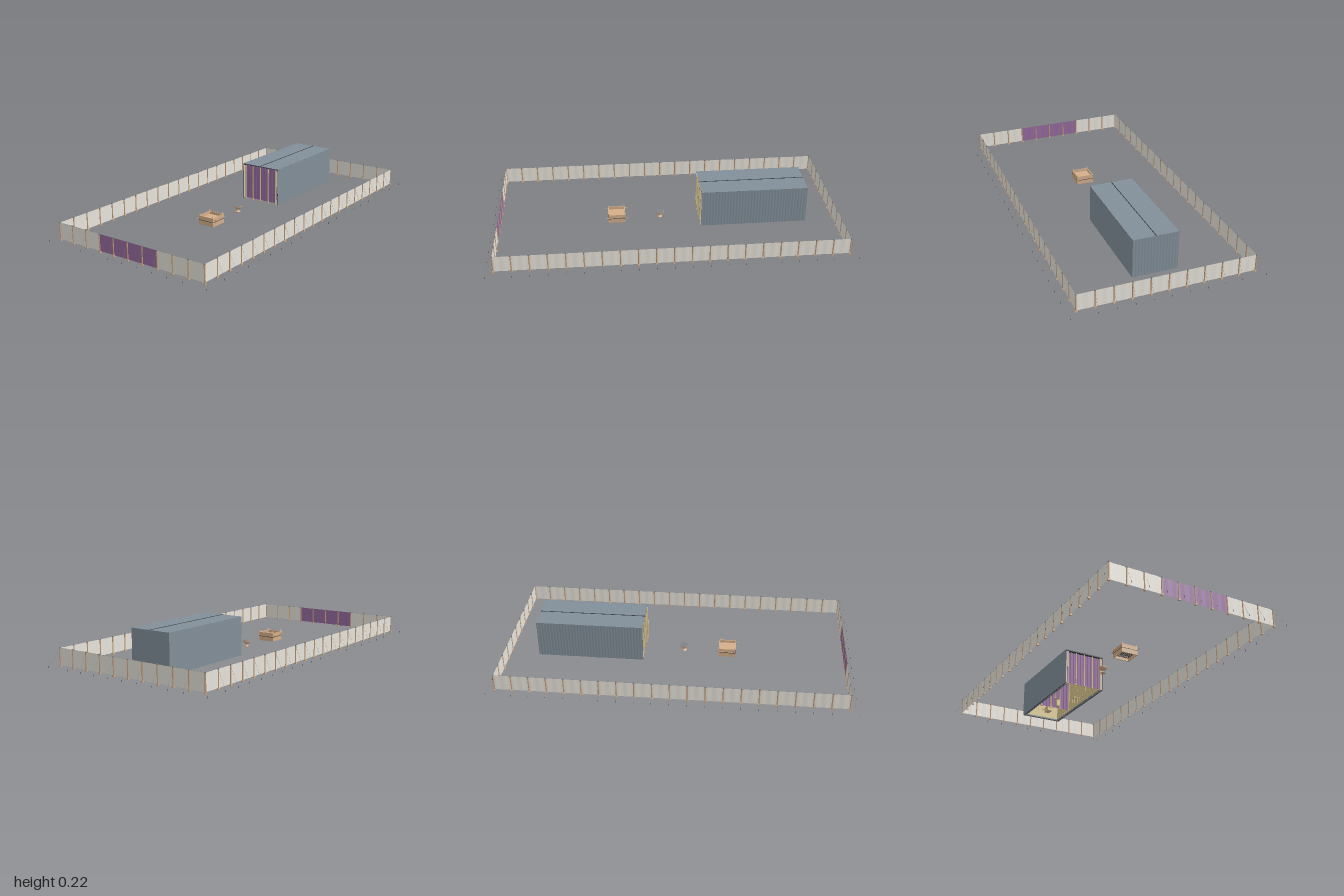
import * as THREE from 'three';
import { mergeGeometries } from 'three/addons/utils/BufferGeometryUtils.js';

const mat = (name, color) => {
  const m = new THREE.MeshStandardMaterial({ color, side: THREE.DoubleSide });
  m.name = name;
  return m;
};
const V = (x, y, z) => new THREE.Vector3(x, y, z);

// Geometry helpers
const box = (w, h, d, x, y, z) => new THREE.BoxGeometry(w, h, d).translate(x, y, z);
const cyl = (r0, r1, h, x, y, z, n = 10) => new THREE.CylinderGeometry(r0, r1, h, n).translate(x, y, z);
const rod = (a, b, r, n = 6) => {
  const d = b.clone().sub(a);
  const g = new THREE.CylinderGeometry(r, r, d.length(), n);
  g.applyQuaternion(new THREE.Quaternion().setFromUnitVectors(V(0, 1, 0), d.normalize()));
  const c = a.clone().add(b).multiplyScalar(0.5);
  return g.translate(c.x, c.y, c.z);
};

// Upright pleated cloth, facing +z, standing on y = 0
const cloth = (w, h, waves, amp) => {
  const g = new THREE.PlaneGeometry(w, h, waves * 8, 2).translate(0, h / 2, 0);
  const p = g.attributes.position;
  for (let i = 0; i < p.count; i++) {
    p.setZ(i, amp * Math.sin((p.getX(i) / w + 0.5) * waves * Math.PI * 2));
  }
  g.computeVertexNormals();
  return g;
};

export function createModel() {
  const model = new THREE.Group();
  const M = {
    linen: mat('linen', 0xe8e4dc),
    purple: mat('purple cloth', 0x946a9e),
    slate: mat('slate covering', 0x828f99),
    lining: mat('dark lining', 0x3e4347),
    gold: mat('gold', 0xd8c48c),
    wood: mat('wood', 0xc79f78),
    bronze: mat('bronze', 0xd4ae8a),
    steel: mat('dull silver', 0x7f858b),
    rope: mat('rope', 0x9c978c),
  };
  const add = (name, material, geos, parent = model) => {
    const mesh = new THREE.Mesh(mergeGeometries(geos), material);
    mesh.name = name;
    parent.add(mesh);
  };
  const group = (name) => {
    const g = new THREE.Group();
    g.name = name;
    model.add(g);
    return g;
  };

  // Courtyard fence: posts, sockets, caps, cloth, top cords, guy ropes
  const X = 0.955, Z = 0.478, STEP = 0.0955;
  const fence = group('courtyardFence');
  const posts = [], sockets = [], caps = [], linen = [], gate = [], ropes = [], stakes = [];
  const post = (x, z, ox, oz) => {
    posts.push(cyl(0.0036, 0.0036, 0.094, x, 0.055, z, 8));
    sockets.push(box(0.011, 0.009, 0.011, x, 0.0085, z));
    caps.push(cyl(0.0044, 0.0044, 0.006, x, 0.104, z, 8));
    const end = V(x + ox * 0.043, 0.004, z + oz * 0.043);
    ropes.push(rod(V(x, 0.1, z), end, 0.0005, 4));
    stakes.push(cyl(0.0014, 0.0008, 0.009, end.x, 0.0045, end.z, 5));
  };
  for (let i = 0; i <= 20; i++) {
    const x = -X + i * STEP;
    const ox = i === 0 ? -1 : i === 20 ? 1 : 0;
    for (const s of [-1, 1]) {
      post(x, s * Z, ox, s);
      if (i < 20) linen.push(cloth(STEP, 0.092, 2, 0.0006).translate(x + STEP / 2, 0.012, s * Z));
    }
  }
  const zStep = Z / 5;
  for (let i = 0; i < 10; i++) {
    const z = -Z + i * zStep;
    for (const s of [-1, 1]) {
      if (i > 0) post(s * X, z, s, 0);
      const panel = cloth(zStep, 0.092, 2, 0.0006).rotateY(Math.PI / 2).translate(s * X, 0.012, z + zStep / 2);
      (s < 0 && i >= 3 && i <= 6 ? gate : linen).push(panel);
    }
  }
  for (const s of [-1, 1]) {
    ropes.push(rod(V(-X, 0.104, s * Z), V(X, 0.104, s * Z), 0.0006, 4));
    ropes.push(rod(V(s * X, 0.104, -Z), V(s * X, 0.104, Z), 0.0006, 4));
  }
  add('fencePosts', M.wood, posts, fence);
  add('postSockets', M.bronze, sockets, fence);
  add('postCaps', M.steel, caps, fence);
  add('fenceCurtains', M.linen, linen, fence);
  add('gateCurtain', M.purple, gate, fence);
  add('fenceRopes', M.rope, ropes, fence);
  add('tentStakes', M.lining, stakes, fence);

  // Tent covering: ribbed cloth over a thin dark lining, linen edge at the door
  const tent = group('tent');
  const x0 = 0.186, x1 = 0.791, len = x1 - x0, cx = (x0 + x1) / 2, W = 0.125, top = 0.223, foot = 0.007;
  const cover = [];
  for (const s of [-1, 1]) {
    cover.push(cloth(len, top - foot, 36, 0.0005).translate(cx, foot, s * W));
    cover.push(cloth(len, W, 36, 0.0003).rotateX(-Math.PI / 2).translate(cx, top, s > 0 ? W : 0));
  }
  cover.push(cloth(W * 2, top - foot, 15, 0.0005).rotateY(Math.PI / 2).translate(x1, foot, 0));
  add('outerCovering', M.slate, cover, tent);
  const height = top - foot - 0.003, midY = (top + foot) / 2 - 0.001;
  const lining = [box(len - 0.002, 0.004, W * 2 - 0.003, cx, top - 0.003, 0),
    box(0.004, height, W * 2 - 0.003, x1 - 0.003, midY, 0)];
  const edges = [];
  for (const s of [-1, 1]) {
    lining.push(box(len - 0.004, height, 0.004, cx, midY, s * (W - 0.003)));
    edges.push(box(0.012, height - 0.012, 0.004, x0 + 0.005, midY - 0.003, s * (W - 0.0075)));
  }
  add('coveringLining', M.lining, lining, tent);
  add('liningEdges', M.linen, edges, tent);
  add('roofSeam', M.lining, [box(len, 0.002, 0.004, cx, top + 0.001, 0)], tent);

  // Gilded wall boards, crossbars and silver sockets
  const boards = [], feet = [];
  for (let i = 0; i < 20; i++) {
    const x = 0.217 + i * 0.0288;
    for (const s of [-1, 1]) {
      boards.push(box(0.0284, 0.192, 0.01, x, 0.111, s * 0.114));
      feet.push(box(0.026, 0.008, 0.011, x, 0.011, s * 0.114));
    }
  }
  for (let i = 0; i < 8; i++) {
    const z = (i - 3.5) * 0.0285;
    boards.push(box(0.01, 0.192, 0.0281, 0.78, 0.111, z));
    feet.push(box(0.011, 0.008, 0.025, 0.78, 0.011, z));
  }
  for (const y of [0.05, 0.11, 0.17]) {
    for (const s of [-1, 1]) boards.push(rod(V(0.205, y, s * 0.109), V(0.775, y, s * 0.109), 0.0018));
  }
  add('wallBoards', M.gold, boards, tent);
  add('boardSockets', M.steel, feet, tent);
  add('ceilingCloth', M.purple, [box(0.58, 0.006, 0.225, 0.49, 0.21, 0)], tent);

  // Entrance curtain and inner veil with their pillars
  const screens = [], pillars = [], bases = [];
  const screen = (x, count, off, half) => {
    screens.push(cloth(half * 2, 0.2, 10, 0.002).rotateY(Math.PI / 2).translate(x, 0.012, 0));
    for (let i = 0; i < count; i++) {
      const z = (i / (count - 1) * 2 - 1) * (half - 0.006);
      pillars.push(cyl(0.0036, 0.0036, 0.204, x + off, 0.112, z));
      bases.push(box(0.01, 0.008, 0.01, x + off, 0.009, z));
    }
  };
  screen(0.194, 5, -0.006, 0.114);
  screen(0.585, 4, -0.006, 0.1);
  add('tentScreens', M.purple, screens, tent);
  add('screenPillars', M.gold, pillars, tent);
  add('pillarBases', M.bronze, bases, tent);

  // Gilded furnishings: chest, incense stand, table, lampstand
  const gild = [box(0.048, 0.026, 0.03, 0.68, 0.03, 0), box(0.05, 0.004, 0.032, 0.68, 0.045, 0),
    box(0.02, 0.038, 0.02, 0.545, 0.027, 0), box(0.024, 0.003, 0.024, 0.545, 0.047, 0),
    box(0.04, 0.005, 0.022, 0.44, 0.036, 0.065)];
  for (const s of [-1, 1]) {
    gild.push(rod(V(0.63, 0.038, s * 0.018), V(0.73, 0.038, s * 0.018), 0.0015));
    gild.push(box(0.006, 0.018, 0.008, 0.68 + s * 0.017, 0.055, 0));
    for (const t of [-1, 1]) gild.push(box(0.003, 0.028, 0.003, 0.44 + s * 0.017, 0.021, 0.065 + t * 0.009));
  }
  gild.push(cyl(0.003, 0.012, 0.008, 0.44, 0.012, -0.065), cyl(0.0018, 0.0018, 0.05, 0.44, 0.038, -0.065));
  for (const r of [0.008, 0.015, 0.022]) {
    gild.push(new THREE.TorusGeometry(r, 0.0014, 6, 14, Math.PI).rotateX(Math.PI).translate(0.44, 0.06, -0.065));
  }
  add('furnishings', M.gold, gild, tent);

  // Altar: open box, sunken hearth, horns, carrying poles
  const altar = group('altar');
  altar.position.x = -0.29;
  const walls = [], trim = [], poles = [];
  for (const s of [-1, 1]) {
    walls.push(box(0.098, 0.05, 0.005, 0, 0.031, s * 0.0465), box(0.005, 0.05, 0.098, s * 0.0465, 0.031, 0));
    trim.push(box(0.1, 0.0025, 0.002, 0, 0.032, s * 0.049), box(0.002, 0.0025, 0.1, s * 0.049, 0.032, 0));
    poles.push(rod(V(-0.065, 0.04, s * 0.053), V(0.065, 0.04, s * 0.053), 0.0014));
    for (const t of [-1, 1]) {
      walls.push(new THREE.ConeGeometry(0.006, 0.014, 4, 1).rotateY(Math.PI / 4).translate(s * 0.044, 0.063, t * 0.044));
      trim.push(new THREE.TorusGeometry(0.0028, 0.0008, 5, 10).rotateY(Math.PI / 2).translate(s * 0.035, 0.04, t * 0.053));
    }
  }
  add('altarWalls', M.bronze, walls, altar);
  add('altarHearth', M.bronze, [box(0.09, 0.004, 0.09, 0, 0.038, 0)], altar);
  add('altarBands', M.lining, trim, altar);
  add('altarPoles', M.wood, poles, altar);
  const bars = [];
  for (let i = -4; i <= 4; i++) {
    bars.push(box(0.09, 0.002, 0.002, 0, 0.022, i * 0.01), box(0.002, 0.002, 0.09, i * 0.01, 0.022, 0));
  }
  add('altarGrate', M.lining, bars, altar);

  // Wash basin on a pedestal
  const basin = group('washBasin');
  basin.position.x = -0.04;
  const profile = [[0, 0.004], [0.015, 0.004], [0.014, 0.008], [0.005, 0.012], [0.004, 0.02], [0.014, 0.024],
    [0.023, 0.032], [0.025, 0.041], [0.022, 0.041], [0.02, 0.034], [0, 0.032]];
  add('basinBowl', M.bronze, [new THREE.LatheGeometry(profile.map(([x, y]) => new THREE.Vector2(x, y)), 20)], basin);
  add('basinWater', M.steel, [cyl(0.0235, 0.0215, 0.004, 0, 0.0395, 0, 20)], basin);

  return model;
}
